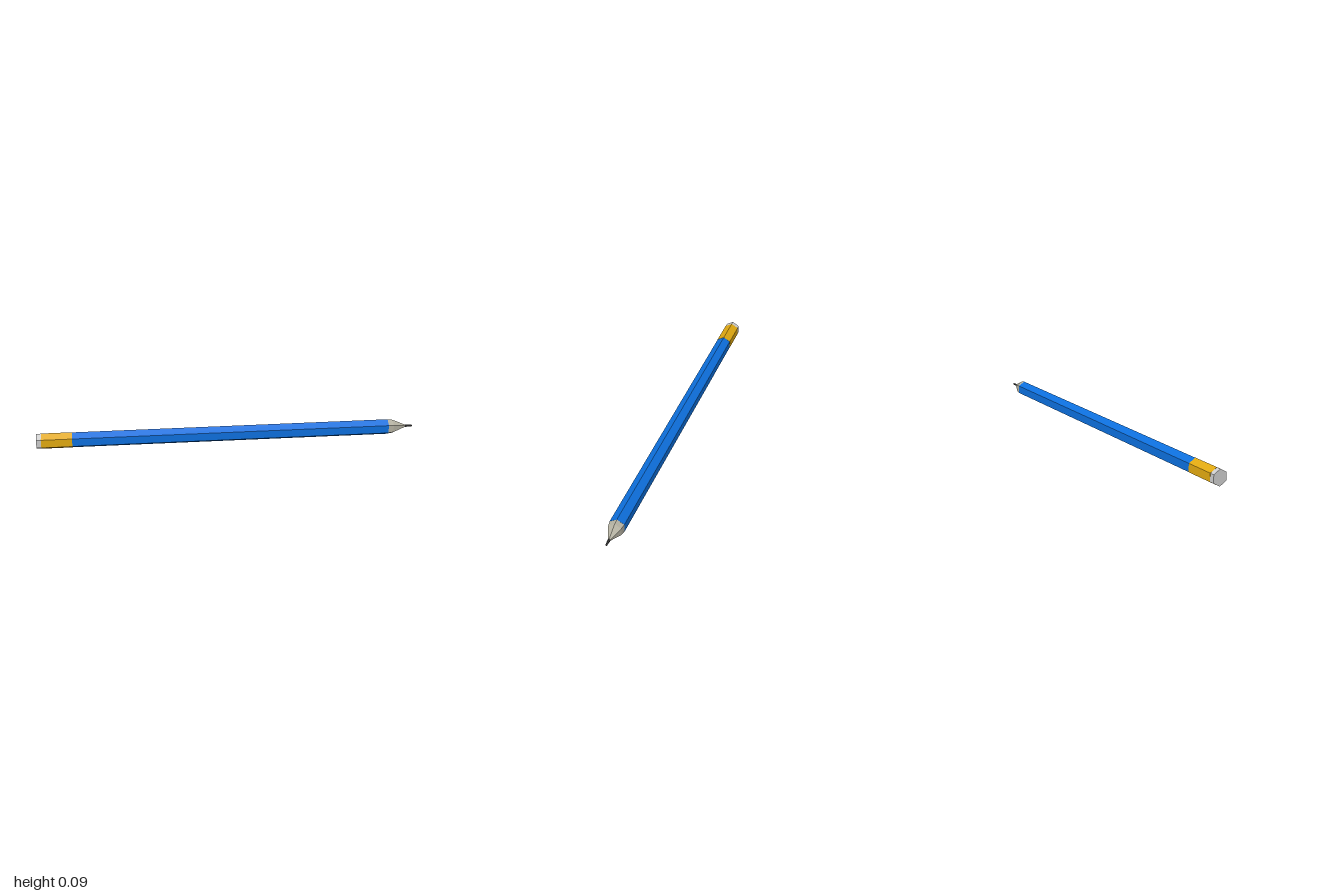
import * as THREE from 'three';

const R = 0.0433; // corner radius of the hexagonal barrel

// Six-sided solid along +x from a profile of [x, radius] pairs
function hexPart(name, color, profile) {
  const points = profile.map(([x, r]) => new THREE.Vector2(r, x));
  const geometry = new THREE.LatheGeometry(points, 6, Math.PI / 2);
  geometry.rotateZ(-Math.PI / 2);
  const material = new THREE.MeshStandardMaterial({ color, flatShading: true });
  const mesh = new THREE.Mesh(geometry, material);
  mesh.name = name;
  mesh.position.y = R;
  return mesh;
}

export function createModel() {
  const group = new THREE.Group();
  group.name = 'pencil';

  // Eraser with a flat end
  group.add(hexPart('eraser', 0xcccccc, [[-1, 0], [-1, 0.0425], [-0.975, 0.0425]]));

  // Ferrule, a touch wider than the barrel, with closed rims
  group.add(hexPart('ferrule', 0xe0a810, [[-0.975, 0.04], [-0.975, R], [-0.815, R], [-0.815, 0.04]]));

  // Painted barrel
  group.add(hexPart('barrel', 0x0d6fdc, [[-0.815, 0.0425], [0.862, 0.0425], [0.862, 0.036]]));

  // Sharpened wood, bulging before it narrows
  group.add(hexPart('sharpenedWood', 0xb5b2a2, [
    [0.862, 0.042], [0.89, 0.038], [0.952, 0.01], [0.96, 0.007],
  ]));

  // Thin lead
  group.add(hexPart('lead', 0x444444, [[0.952, 0.0085], [0.965, 0.0065], [0.997, 0.0045], [1, 0]]));

  return group;
}
